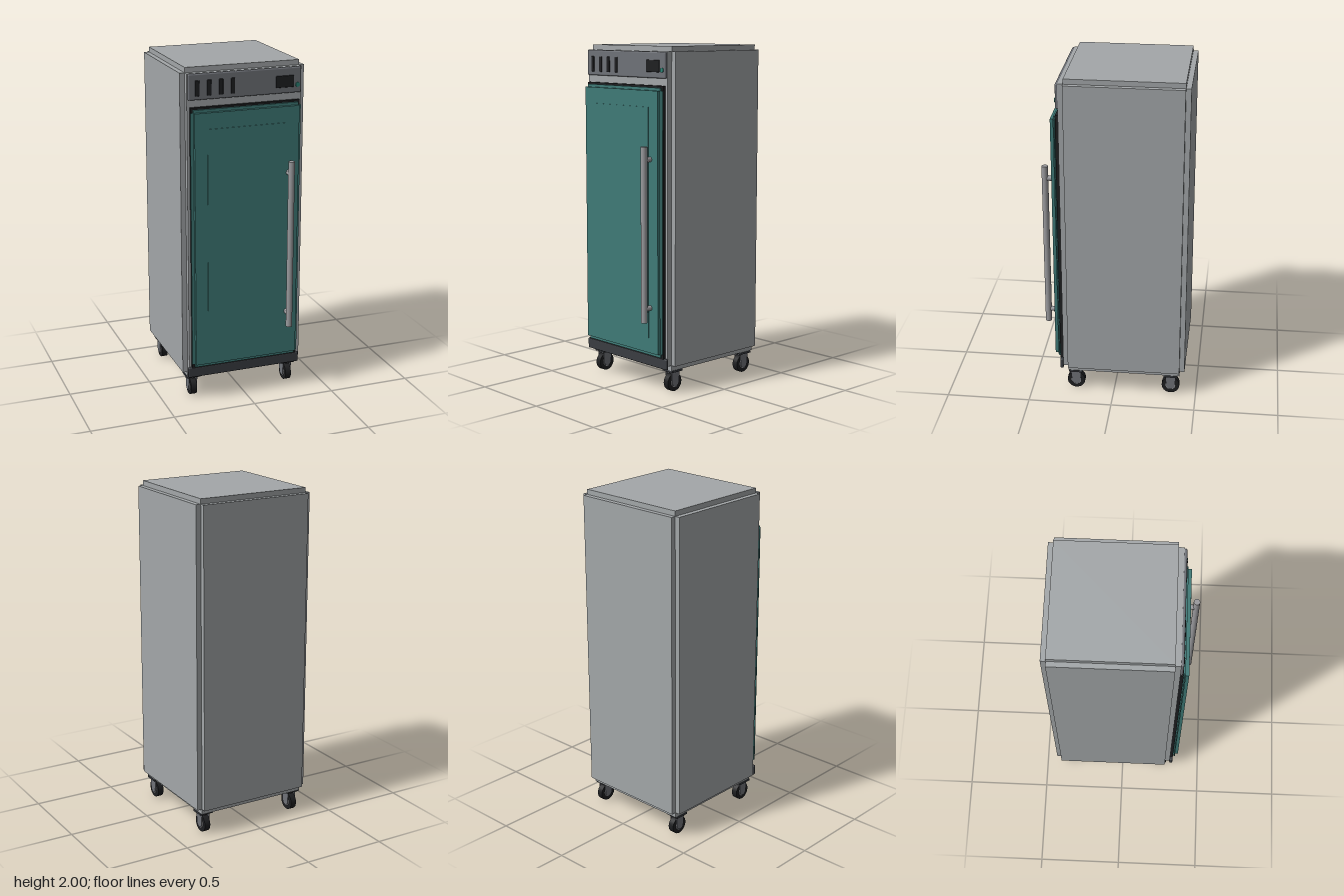
import * as THREE from 'three';
import { RoundedBoxGeometry } from 'three/addons/geometries/RoundedBoxGeometry.js';

const mat = (name, color) => {
  const m = new THREE.MeshStandardMaterial({ color });
  m.name = name;
  return m;
};

export function createModel() {
  const steel = mat('steel grey', 0xa3a7a9);
  const teal = mat('teal door', 0x3f7a77);
  const panelGrey = mat('panel grey', 0x6f7278);
  const charcoal = mat('charcoal', 0x3a3d42);
  const black = mat('black', 0x1e1f21);
  const chrome = mat('handle grey', 0x9a9a9d);
  const green = mat('indicator green', 0x2c8577);

  const root = new THREE.Group();
  root.name = 'cabinet';

  const add = (parent, name, geometry, material, x, y, z) => {
    const mesh = new THREE.Mesh(geometry, material);
    mesh.name = name;
    mesh.position.set(x, y, z);
    parent.add(mesh);
    return mesh;
  };
  const group = (name) => {
    const g = new THREE.Group();
    g.name = name;
    root.add(g);
    return g;
  };
  // Box given by its extents along each axis
  const span = (parent, name, material, [x0, x1], [y0, y1], [z0, z1]) =>
    add(parent, name, new THREE.BoxGeometry(x1 - x0, y1 - y0, z1 - z0), material,
      (x0 + x1) / 2, (y0 + y1) / 2, (z0 + z1) / 2);

  // Cabinet shell: three crossing blocks leave a stepped notch on every edge
  const body = group('body');
  span(body, 'sideBlock', steel, [-0.373, 0.373], [0.165, 1.97], [-0.4, 0.278]);
  span(body, 'frontBackBlock', steel, [-0.343, 0.343], [0.165, 1.97], [-0.43, 0.31]);
  span(body, 'topBottomBlock', steel, [-0.343, 0.343], [0.132, 2.0], [-0.4, 0.278]);

  // Door with notched edges, seal and raised inner panel
  const door = group('door');
  span(door, 'seal', black, [-0.328, 0.328], [0.205, 1.78], [0.308, 0.329]);
  span(door, 'doorSlab', teal, [-0.315, 0.315], [0.237, 1.753], [0.32, 0.36]);
  span(door, 'doorWidePlate', teal, [-0.333, 0.331], [0.237, 1.753], [0.334, 0.341]);
  span(door, 'doorTallPlate', teal, [-0.315, 0.315], [0.217, 1.769], [0.33, 0.341]);
  span(door, 'doorInnerPanel', teal, [-0.24, 0.238], [0.325, 1.66], [0.358, 0.364]);

  // Bar handle on two stand-offs
  const handle = group('handle');
  add(handle, 'bar', new THREE.CylinderGeometry(0.019, 0.019, 1.015, 24), chrome, 0.252, 0.933, 0.407);
  for (const y of [0.505, 1.365]) {
    add(handle, 'standOff', new THREE.CylinderGeometry(0.015, 0.015, 0.046, 16), chrome, 0.252, y, 0.382)
      .rotation.x = Math.PI / 2;
  }

  // Control panel with vents, display and indicator
  const controls = group('controlPanel');
  add(controls, 'panel', new RoundedBoxGeometry(0.678, 0.148, 0.018, 3, 0.008), panelGrey, 0, 1.895, 0.316);
  for (let i = 0; i < 4; i++) {
    add(controls, 'vent', new RoundedBoxGeometry(0.025, 0.09, 0.009, 2, 0.004), black, -0.286 + i * 0.07, 1.888, 0.325);
  }
  add(controls, 'display', new RoundedBoxGeometry(0.11, 0.068, 0.009, 2, 0.004), black, 0.238, 1.889, 0.325);
  add(controls, 'indicator', new THREE.CylinderGeometry(0.013, 0.013, 0.009, 20), green, 0.315, 1.867, 0.326)
    .rotation.x = Math.PI / 2;

  // Kick plate
  add(root, 'kickPlate', new RoundedBoxGeometry(0.705, 0.064, 0.02, 3, 0.008), charcoal, -0.001, 0.178, 0.318);

  // Fork cheek outline, wide at the top and rounded around the axle
  const cheek = new THREE.Shape();
  cheek.moveTo(-0.032, 0.118);
  cheek.lineTo(-0.026, 0.055);
  cheek.absarc(0, 0.055, 0.026, Math.PI, Math.PI * 2, false);
  cheek.lineTo(0.032, 0.118);
  const cheekGeo = new THREE.ExtrudeGeometry(cheek, { depth: 0.005, bevelEnabled: false, curveSegments: 10 });
  cheekGeo.translate(0, 0, -0.0025);
  cheekGeo.rotateY(Math.PI / 2);

  // Four casters
  for (const x of [-0.305, 0.305]) {
    for (const z of [0.234, -0.346]) {
      const caster = group('caster');
      caster.position.set(x, 0, z);
      add(caster, 'mountPlate', new THREE.BoxGeometry(0.084, 0.012, 0.084), charcoal, 0, 0.126, 0);
      add(caster, 'swivel', new THREE.CylinderGeometry(0.03, 0.03, 0.012, 20), panelGrey, 0, 0.116, 0);
      add(caster, 'wheel', new THREE.CylinderGeometry(0.054, 0.054, 0.036, 28), black, 0, 0.054, 0)
        .rotation.z = Math.PI / 2;
      add(caster, 'hub', new THREE.CylinderGeometry(0.03, 0.03, 0.042, 20), chrome, 0, 0.054, 0)
        .rotation.z = Math.PI / 2;
      for (const side of [-1, 1]) add(caster, 'forkCheek', cheekGeo, panelGrey, side * 0.024, 0, 0);
    }
  }

  return root;
}
